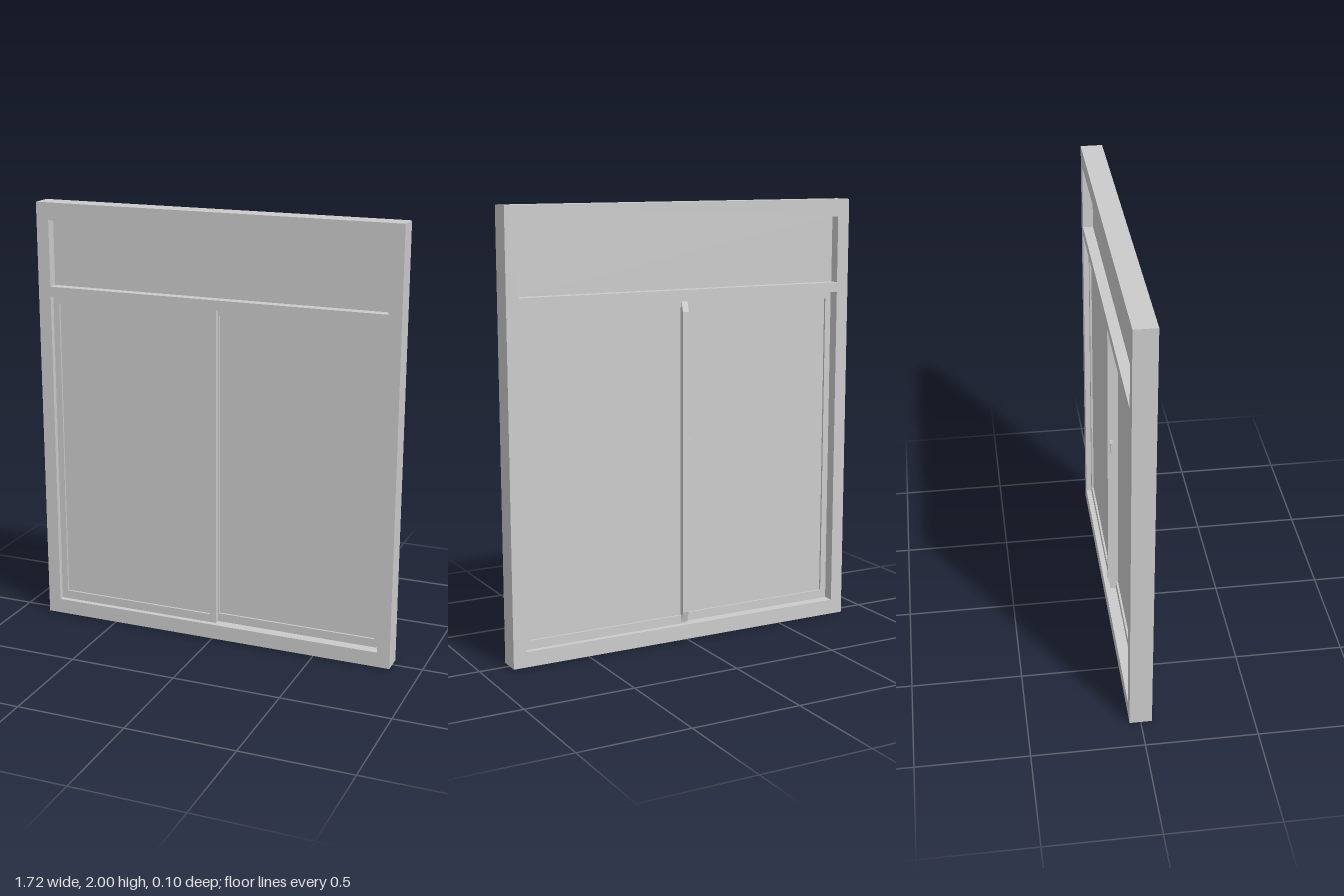
import * as THREE from 'three';

const material = new THREE.MeshStandardMaterial({ color: 0xcccccc, flatShading: true });

// Rectangles are [x0, x1, y0, y1]
function trace(path, [x0, x1, y0, y1]) {
  path.moveTo(x0, y0);
  path.lineTo(x1, y0);
  path.lineTo(x1, y1);
  path.lineTo(x0, y1);
  path.closePath();
  return path;
}

function addMesh(parent, name, geometry) {
  const mesh = new THREE.Mesh(geometry, material);
  mesh.name = name;
  parent.add(mesh);
  return mesh;
}

// Flat border with rectangular openings, spanning z0 to z1
function addBorder(parent, name, outer, openings, z0, z1) {
  const shape = trace(new THREE.Shape(), outer);
  shape.holes = openings.map((o) => trace(new THREE.Path(), o));
  const geometry = new THREE.ExtrudeGeometry(shape, { depth: z1 - z0, bevelEnabled: false });
  return addMesh(parent, name, geometry.translate(0, 0, z0));
}

function addBox(parent, name, [x0, x1, y0, y1], z0, z1) {
  const geometry = new THREE.BoxGeometry(x1 - x0, y1 - y0, z1 - z0);
  return addMesh(parent, name, geometry.translate((x0 + x1) / 2, (y0 + y1) / 2, (z0 + z1) / 2));
}

export function createModel() {
  const model = new THREE.Group();
  model.name = 'slidingWindow';

  // Outer frame with the transom opening above the sliding opening
  const transom = [-0.8, 0.8, 1.615, 1.92];
  addBorder(model, 'outerFrame', [-0.86, 0.86, 0, 2], [transom, [-0.8, 0.8, 0.07, 1.57]], -0.05, 0.05);
  addBox(model, 'transomGlass', transom, -0.003, 0.003);

  // Two sashes on separate tracks, overlapping at the middle
  const sashes = [
    { name: 'rightSash', outer: [-0.8, 0.01, 0.07, 1.57], glass: [-0.77, -0.02, 0.11, 1.535], z: 0.0125 },
    { name: 'leftSash', outer: [-0.015, 0.8, 0.07, 1.57], glass: [0.015, 0.77, 0.11, 1.535], z: -0.0125 },
  ];
  for (const { name, outer, glass, z } of sashes) {
    const sash = new THREE.Group();
    sash.name = name;
    addBorder(sash, 'sashFrame', outer, [glass], z - 0.0123, z + 0.0123);
    addBox(sash, 'sashGlass', glass, z - 0.003, z + 0.003);
    model.add(sash);
  }

  // Raised meeting strip with chamfered ends on the back of the left sash
  const profile = new THREE.Shape([
    [0.024, 0.075], [0.038, 0.125], [0.038, 1.515], [0.024, 1.565],
  ].map(([x, y]) => new THREE.Vector2(x, y)));
  const strip = new THREE.ExtrudeGeometry(profile, { depth: 0.03, bevelEnabled: false });
  strip.rotateY(Math.PI / 2).translate(-0.015, 0, 0);
  addMesh(model, 'meetingStrip', strip);

  // Latch on the edge of the meeting strip
  const latch = new THREE.Group();
  latch.name = 'latch';
  addBox(latch, 'latchPlate', [-0.02, -0.015, 0.86, 0.94], -0.032, -0.012);
  addBox(latch, 'latchLever', [-0.036, -0.02, 0.88, 0.935], -0.028, -0.018);
  model.add(latch);

  return model;
}
